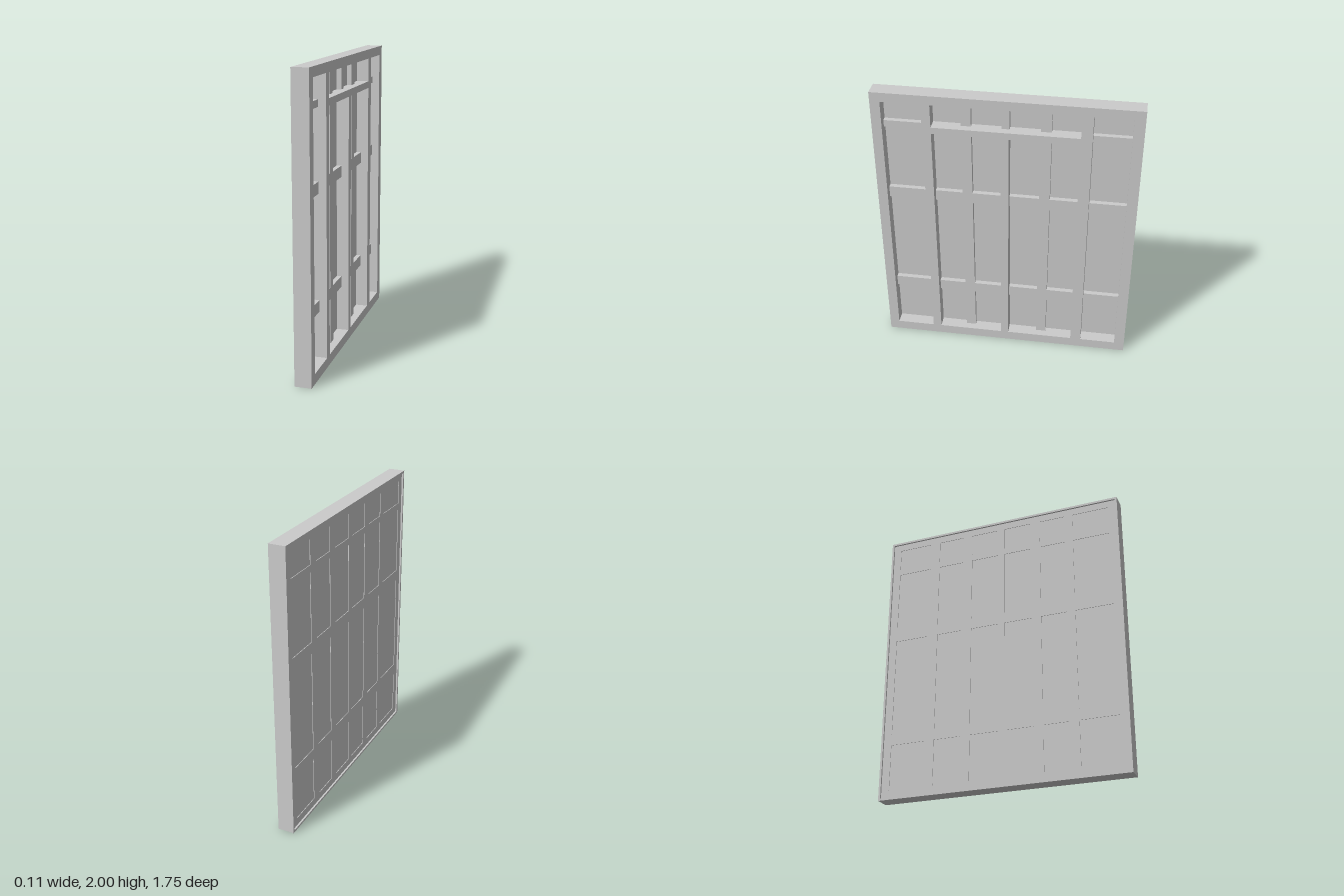
import * as THREE from 'three';

const material = new THREE.MeshStandardMaterial({ color: 0xcccccc, flatShading: true });

// Depth levels along x, from the open face to the back
const FRONT = 0.057, BAR_FRONT = 0.005, PANE_FRONT = -0.028;
const PANE_BACK = -0.041, FRAME_BACK = -0.045, RIM_BACK = -0.057;

// Rectangles are [u0, u1, y0, y1], with u = -z (left to right seen from +x)
function trace(path, [u0, u1, y0, y1]) {
  path.moveTo(u0, y0);
  path.lineTo(u1, y0);
  path.lineTo(u1, y1);
  path.lineTo(u0, y1);
  path.closePath();
  return path;
}

// Upright slab between two depths, with rectangular openings
function slab(name, outer, openings, x0, x1) {
  const shape = trace(new THREE.Shape(), outer);
  for (const o of openings) shape.holes.push(trace(new THREE.Path(), o));
  const geometry = new THREE.ExtrudeGeometry(shape, { depth: x1 - x0, bevelEnabled: false });
  geometry.rotateY(Math.PI / 2).translate(x0, 0, 0);
  const mesh = new THREE.Mesh(geometry, material);
  mesh.name = name;
  return mesh;
}

// Splits a span into the gaps left between bars
function gaps(a, b, bars) {
  const edges = [a, ...bars.flat(), b];
  const out = [];
  for (let i = 0; i < edges.length; i += 2) out.push([edges[i], edges[i + 1]]);
  return out;
}

export function createModel() {
  const group = new THREE.Group();
  group.name = 'panelledWindow';

  const outline = [-0.877, 0.877, 0, 2];
  const bottom = 0.069, top = 1.936;
  const lowRails = [[0.387, 0.466], [1.176, 1.255]];
  const topRail = [1.727, 1.774];
  const leftBar = [-0.3, -0.232], rightBar = [0.221, 0.292], centrePost = [-0.033, 0.02];

  // Bays of the main frame, each with its own glazing bars
  const bays = [
    { name: 'sideBayA', rect: [-0.81, -0.545, bottom, top], rails: [...lowRails, topRail], posts: [] },
    { name: 'sideBayB', rect: [0.557, 0.806, bottom, top], rails: [...lowRails, topRail], posts: [] },
    { name: 'topBay', rect: [-0.486, 0.483, topRail[1], top], rails: [], posts: [leftBar, centrePost, rightBar] },
    { name: 'centreBayA', rect: [-0.486, centrePost[0], bottom, topRail[0]], rails: lowRails, posts: [leftBar] },
    { name: 'centreBayB', rect: [centrePost[1], 0.483, bottom, topRail[0]], rails: lowRails, posts: [rightBar] },
  ];

  // Main frame with its deep openings
  group.add(slab('frame', outline, bays.map((b) => b.rect), FRAME_BACK, FRONT));

  // Thin raised rim around the back
  const t = 0.015;
  group.add(slab('backRim', outline, [[-0.877 + t, 0.877 - t, t, 2 - t]], RIM_BACK, FRAME_BACK));

  // Set-back bars and panes that fill each bay
  for (const { name, rect, rails, posts } of bays) {
    const bay = new THREE.Group();
    bay.name = name;
    const cells = [];
    for (const [u0, u1] of gaps(rect[0], rect[1], posts))
      for (const [y0, y1] of gaps(rect[2], rect[3], rails)) cells.push([u0, u1, y0, y1]);

    // Bars end where they meet the frame, so each is built as its own strip
    for (const [y0, y1] of rails)
      bay.add(slab('rail', [rect[0], rect[1], y0, y1], [], FRAME_BACK, BAR_FRONT));
    for (const [u0, u1] of posts)
      for (const [y0, y1] of gaps(rect[2], rect[3], rails))
        bay.add(slab('post', [u0, u1, y0, y1], [], FRAME_BACK, BAR_FRONT));

    for (const cell of cells) bay.add(slab('pane', cell, [], PANE_BACK, PANE_FRONT));
    group.add(bay);
  }
  return group;
}
